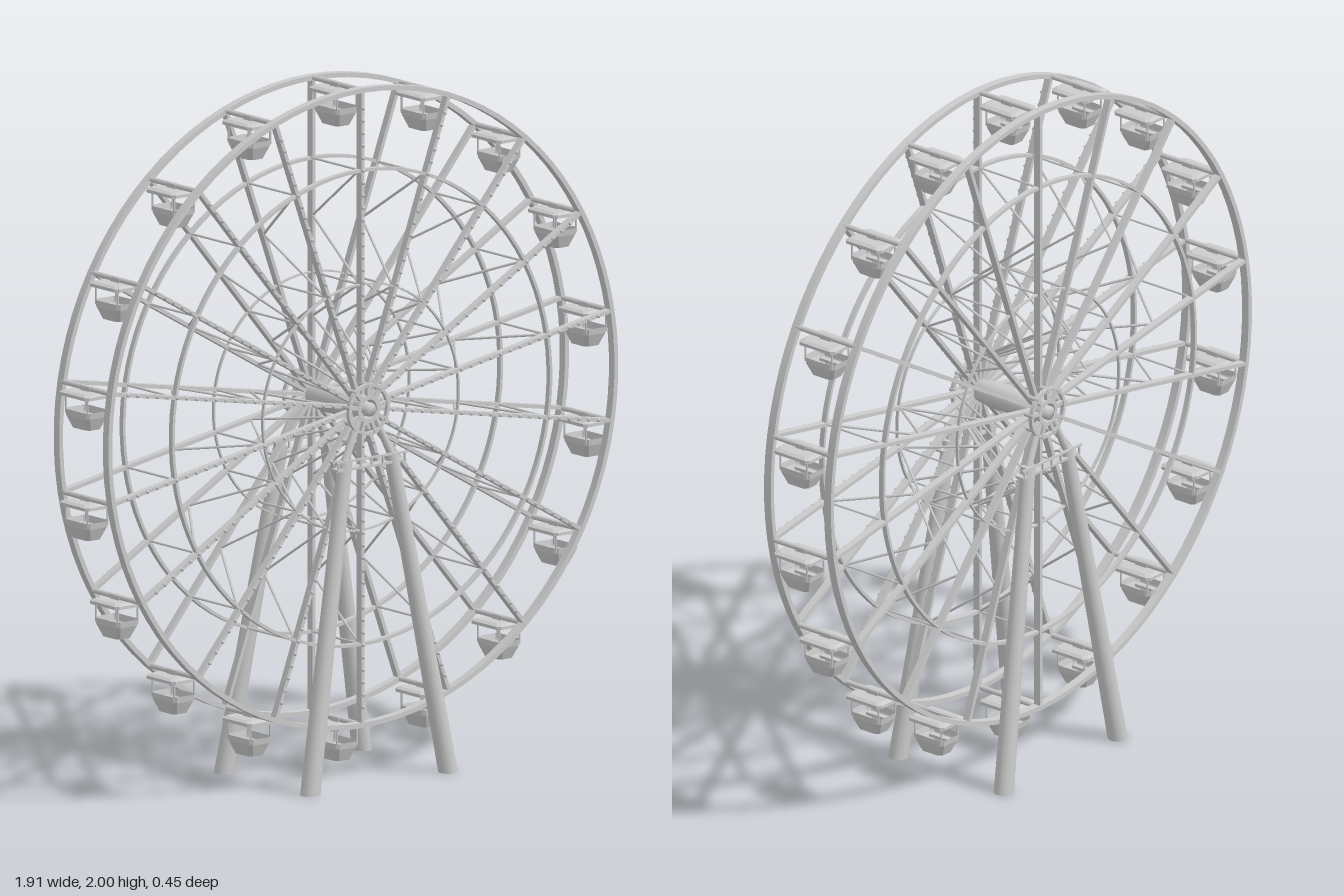
import * as THREE from 'three';
import { mergeGeometries } from 'three/addons/utils/BufferGeometryUtils.js';

const material = new THREE.MeshStandardMaterial({ color: 0xcccccc });
const faceted = new THREE.MeshStandardMaterial({ color: 0xcccccc, side: THREE.DoubleSide, flatShading: true });

const COUNT = 18, HUB_Y = 1.074, RADIUS = 0.918, SIDE_Z = 0.111;
const V = (x, y, z) => new THREE.Vector3(x, y, z);
// point in the wheel at a radius and angle from the top
const polar = (r, a, z) => V(r * Math.sin(a), r * Math.cos(a), z);
const spokeAngles = Array.from({ length: COUNT }, (_, i) => (i * Math.PI * 2) / COUNT);

// straight round bar between two points
function rod(a, b, r0, r1 = r0, sides = 8) {
  const dir = b.clone().sub(a);
  const g = new THREE.CylinderGeometry(r1, r0, dir.length(), sides);
  g.applyQuaternion(new THREE.Quaternion().setFromUnitVectors(V(0, 1, 0), dir.normalize()));
  const mid = a.clone().add(b).multiplyScalar(0.5);
  return g.translate(mid.x, mid.y, mid.z);
}

function add(parent, name, geometries, mat = material) {
  const mesh = new THREE.Mesh(geometries.length > 1 ? mergeGeometries(geometries) : geometries[0], mat);
  mesh.name = name;
  parent.add(mesh);
  return mesh;
}

// flat hoop with a rectangular section, separate corners keep its edges sharp
function hoop(r, thick, deep, z) {
  const t = thick / 2, d = deep / 2;
  const c = [[r - t, -d], [r + t, -d], [r + t, d], [r - t, d], [r - t, -d]].map(p => new THREE.Vector2(...p));
  const sides = [0, 1, 2, 3].map(i => new THREE.LatheGeometry([c[i], c[i + 1]], 90));
  return mergeGeometries(sides).rotateX(Math.PI / 2).translate(0, 0, z);
}

function makeWheel() {
  const wheel = new THREE.Group();
  wheel.name = 'wheel';
  wheel.position.y = HUB_Y;

  // three rings and a set of spokes on each side
  for (const s of [-1, 1]) {
    const side = s > 0 ? 'front' : 'back';
    add(wheel, side + 'OuterRing', [hoop(RADIUS, 0.014, 0.025, s * SIDE_Z)]);
    add(wheel, side + 'MiddleRing', [hoop(0.685, 0.009, 0.016, s * SIDE_Z)]);
    add(wheel, side + 'InnerRing', [hoop(0.355, 0.005, 0.009, s * SIDE_Z)]);
    add(wheel, side + 'Spokes', spokeAngles.map(a =>
      new THREE.BoxGeometry(0.011, RADIUS - 0.03, 0.022)
        .translate(0, (RADIUS + 0.03) / 2, s * SIDE_Z).rotateZ(-a)));
  }

  // bars joining the two sides, and zigzag braces along each spoke
  const bars = [], braces = [];
  for (const a of spokeAngles) {
    bars.push(rod(polar(RADIUS, a, -SIDE_Z), polar(RADIUS, a, SIDE_Z), 0.008));
    for (const r of [0.685, 0.355]) bars.push(rod(polar(r, a, -0.105), polar(r, a, 0.105), 0.0035, 0.0035, 6));
    const radii = [0.685, 0.52, 0.355, 0.23, 0.1];
    for (let i = 0; i < radii.length - 1; i++) {
      const z = i % 2 ? -0.105 : 0.105;
      braces.push(rod(polar(radii[i], a, z), polar(radii[i + 1], a, -z), 0.0038, 0.0038, 6));
    }
  }
  add(wheel, 'crossBars', bars);
  add(wheel, 'zigzagBraces', braces);

  // small lamps along the front spokes
  const lamps = [];
  for (const a of spokeAngles) {
    for (let r = 0.11; r < 0.9; r += 0.036) {
      const p = polar(r, a, 0.123);
      lamps.push(new THREE.SphereGeometry(0.006, 6, 4).translate(p.x, p.y, p.z));
    }
  }
  add(wheel, 'spokeLamps', lamps);
  return wheel;
}

function makeHub() {
  const hub = new THREE.Group();
  hub.name = 'hub';
  hub.position.y = HUB_Y;
  // axle, wider in the middle
  const profile = [[0, -0.155], [0.02, -0.155], [0.02, -0.12], [0.03, -0.11], [0.038, -0.05],
    [0.038, 0.05], [0.03, 0.11], [0.02, 0.12], [0.02, 0.155], [0, 0.155]];
  const axle = new THREE.LatheGeometry(profile.map(p => new THREE.Vector2(...p)), 24);
  add(hub, 'axle', [axle.rotateX(Math.PI / 2)]);
  for (const s of [-1, 1]) {
    const parts = [hoop(0.07, 0.009, 0.012, s * 0.145), hoop(0.034, 0.012, 0.03, s * 0.135)];
    // flange arms with bolts where the spokes meet
    for (let i = 0; i < 9; i++) {
      const a = (i * Math.PI * 2) / 9;
      parts.push(new THREE.BoxGeometry(0.011, 0.045, 0.012).translate(0, 0.05, s * 0.143).rotateZ(-a));
      parts.push(rod(polar(0.07, a, s * 0.11), polar(0.07, a, s * 0.154), 0.007));
    }
    add(hub, s > 0 ? 'frontFlange' : 'backFlange', parts);
  }
  return hub;
}

function makeSupports() {
  const supports = new THREE.Group();
  supports.name = 'supports';
  for (const s of [-1, 1]) {
    const side = s > 0 ? 'front' : 'back';
    for (const x of [-1, 1]) {
      // foot cut level with the ground
      const foot = V(x * 0.25, 0, s * 0.195), shoulder = V(x * 0.083, 0.935, s * 0.145);
      const leg = rod(foot, shoulder, 0.029, 0.021, 16);
      const p = leg.attributes.position;
      for (let i = 0; i < p.count; i++) if (p.getY(i) < 0.02) p.setY(i, 0);
      add(supports, side + (x > 0 ? 'LeftLeg' : 'RightLeg'), [leg]);
      add(supports, side + (x > 0 ? 'LeftStrut' : 'RightStrut'),
        [rod(shoulder, V(x * 0.02, HUB_Y - 0.01, s * 0.138), 0.012, 0.009, 10)]);
    }
    // narrow service walkway with a rail
    const walkway = [
      new THREE.BoxGeometry(0.25, 0.007, 0.03).translate(0, 0.913, s * 0.148),
      new THREE.BoxGeometry(0.26, 0.006, 0.006).translate(0, 0.938, s * 0.163),
    ];
    for (let i = -3; i <= 3; i++) {
      walkway.push(new THREE.BoxGeometry(0.005, 0.026, 0.005).translate(i * 0.04, 0.925, s * 0.162));
    }
    add(supports, side + 'Walkway', walkway);
  }
  return supports;
}

// octagonal outline with cut corners
function outline(hx, hz, cut) {
  return [[hx, -hz + cut], [hx, hz - cut], [hx - cut, hz], [-hx + cut, hz],
    [-hx, hz - cut], [-hx, -hz + cut], [-hx + cut, -hz], [hx - cut, -hz]];
}

// octagonal loft through levels [y, half width, half depth] from the top down, with end caps
function loft(levels, openTop) {
  const pos = [], index = [], last = (levels.length - 1) * 8;
  for (const [y, hx, hz] of levels) for (const [x, z] of outline(hx, hz, 0.01)) pos.push(x, y, z);
  for (let l = 0; l < last; l += 8) {
    for (let i = 0; i < 8; i++) {
      const a = l + i, b = l + ((i + 1) % 8);
      index.push(a, b, a + 8, b, b + 8, a + 8);
    }
  }
  for (let i = 1; i < 7; i++) {
    index.push(last, last + i, last + i + 1);
    if (!openTop) index.push(0, i + 1, i);
  }
  const g = new THREE.BufferGeometry();
  g.setAttribute('position', new THREE.Float32BufferAttribute(pos, 3));
  g.setIndex(index);
  g.computeVertexNormals();
  return g;
}

function makeCabins() {
  const cabins = new THREE.Group();
  cabins.name = 'cabins';
  const tub = loft([[-0.062, 0.042, 0.056], [-0.08, 0.04, 0.053], [-0.116, 0.027, 0.038]], true);
  const roof = loft([[-0.008, 0.042, 0.055], [-0.014, 0.053, 0.066], [-0.023, 0.053, 0.066]], false);
  const frame = [];
  for (const x of [-1, 1]) {
    for (const z of [-1, 1]) frame.push(rod(V(x * 0.036, -0.075, z * 0.049), V(x * 0.036, -0.018, z * 0.049), 0.003, 0.003, 6));
    frame.push(new THREE.BoxGeometry(0.018, 0.008, 0.08).translate(x * 0.024, -0.085, 0)); // bench
  }
  frame.push(new THREE.BoxGeometry(0.016, 0.016, 0.04).translate(0, -0.003, 0)); // hanger
  const frameGeometry = mergeGeometries(frame);
  spokeAngles.forEach(a => {
    const cabin = new THREE.Group();
    cabin.name = 'cabin';
    cabin.position.copy(polar(RADIUS, a, 0)).add(V(0, HUB_Y, 0));
    add(cabin, 'tub', [tub], faceted);
    add(cabin, 'roof', [roof], faceted);
    add(cabin, 'frame', [frameGeometry]);
    cabins.add(cabin);
  });
  return cabins;
}

export function createModel() {
  const model = new THREE.Group();
  model.name = 'ferrisWheel';
  model.add(makeWheel(), makeHub(), makeSupports(), makeCabins());
  return model;
}
